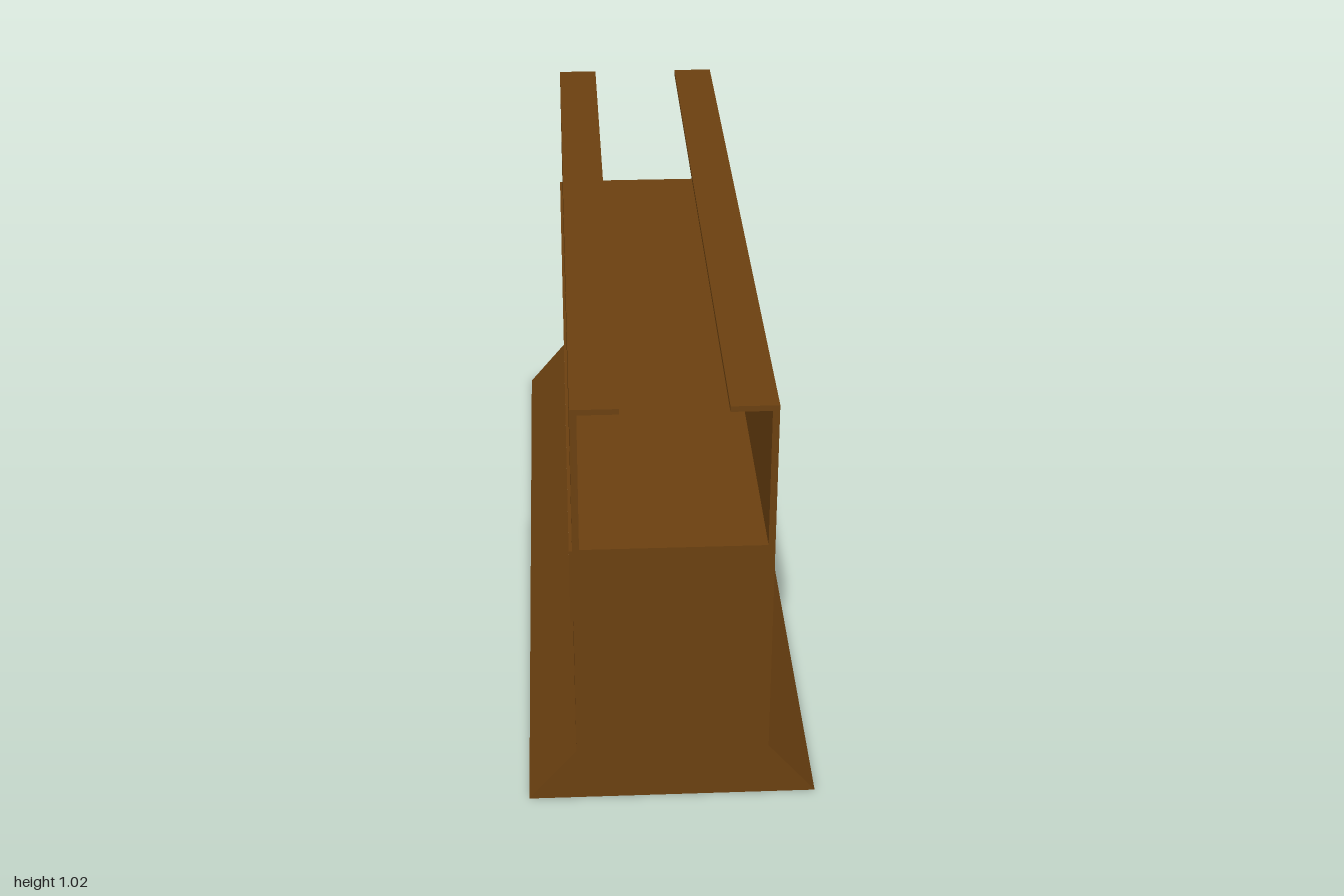
import * as THREE from 'three';

const LENGTH = 2;

export function createModel() {
  const model = new THREE.Group();
  model.name = 'channelBeam';

  const brown = new THREE.MeshStandardMaterial({ color: 0x6b4010 });
  brown.name = 'brown';
  const tan = new THREE.MeshStandardMaterial({ color: 0xcca46e });
  tan.name = 'tan';

  // Right half of the cross-section, from the flared foot up to the lip and down into the channel
  const half = [
    [0.328, 0], [0.218, 0.133], [0.218, 1.018], [0.115, 1.018],
    [0.115, 1.005], [0.203, 1.005], [0.203, 0.675],
  ];
  const mirrored = half.map(([x, y]) => [-x, y]).reverse();
  const profile = new THREE.Shape([...half, ...mirrored].map(([x, y]) => new THREE.Vector2(x, y)));
  const bodyGeometry = new THREE.ExtrudeGeometry(profile, { depth: LENGTH, bevelEnabled: false });
  bodyGeometry.translate(0, 0, -LENGTH / 2);
  const body = new THREE.Mesh(bodyGeometry, brown);
  body.name = 'beamBody';
  model.add(body);

  // Thin strip along the right side, tan on its outer (-x) face only
  const strip = new THREE.Mesh(
    new THREE.BoxGeometry(0.008, 0.182, LENGTH),
    [brown, tan, brown, brown, brown, brown],
  );
  strip.name = 'sideStrip';
  strip.position.set(-0.221, 0.581, 0);
  model.add(strip);

  return model;
}
